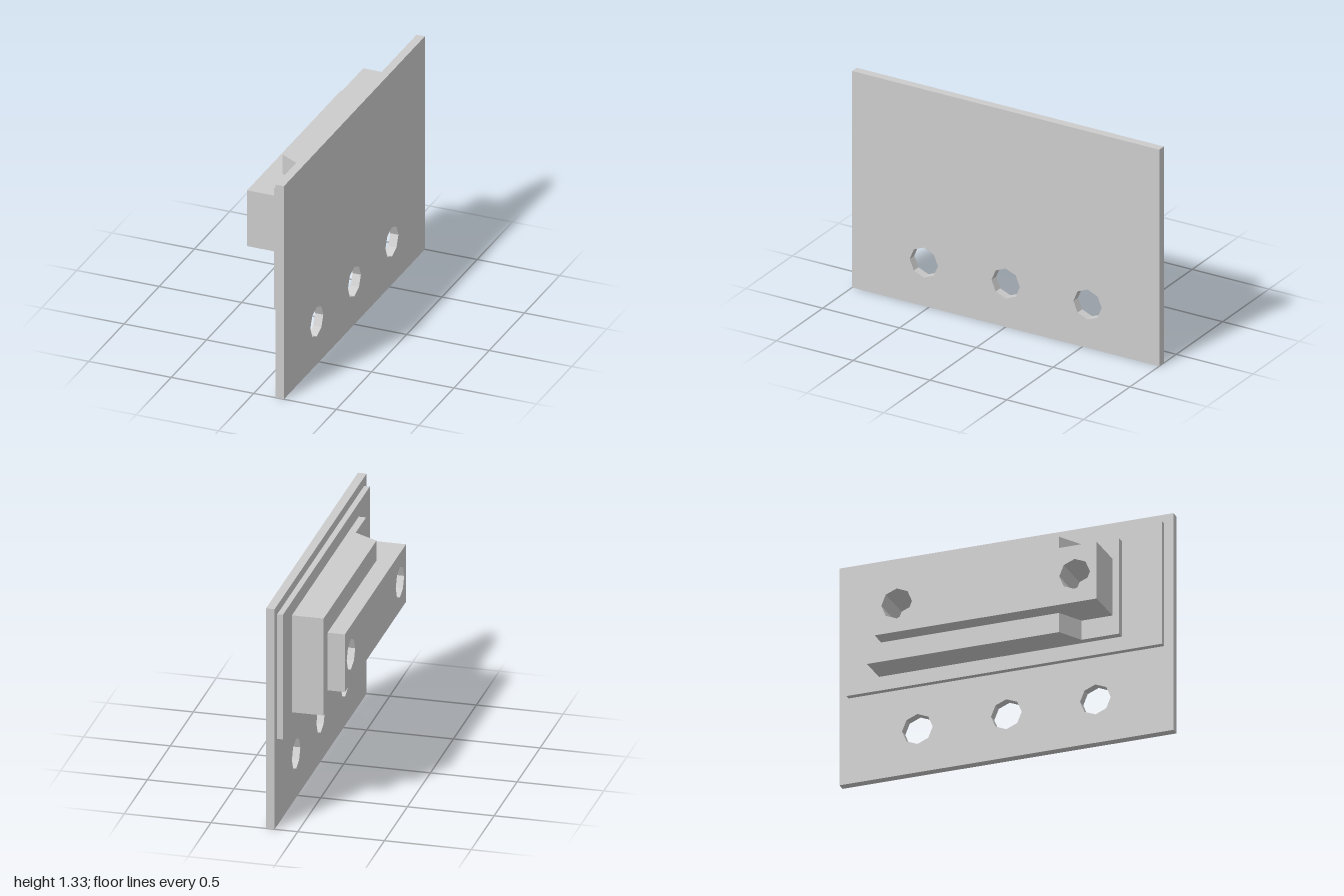
import * as THREE from 'three';

const material = new THREE.MeshStandardMaterial({ color: 0xcccccc, flatShading: true });

// Octagonal hole outline with a corner pointing up
function octagon(u, v, r) {
  const pts = [];
  for (let i = 0; i < 8; i++) {
    const a = (i * Math.PI) / 4;
    pts.push(new THREE.Vector2(u + r * Math.cos(a), v + r * Math.sin(a)));
  }
  return new THREE.Path(pts);
}

// Upright slab spanning x0..x1, y0..y1, z0..z1, drilled along x at [z, y] points
function slab(name, [x0, x1], [y0, y1], [z0, z1], holes = []) {
  const shape = new THREE.Shape([
    new THREE.Vector2(-z1, y0), new THREE.Vector2(-z0, y0),
    new THREE.Vector2(-z0, y1), new THREE.Vector2(-z1, y1),
  ]);
  for (const [z, y] of holes) shape.holes.push(octagon(-z, y, 0.092));
  const geo = new THREE.ExtrudeGeometry(shape, { depth: x1 - x0, bevelEnabled: false });
  geo.rotateY(Math.PI / 2).translate(x0, 0, 0);
  const mesh = new THREE.Mesh(geo, material);
  mesh.name = name;
  return mesh;
}

// Rail beside the bar, with a sloped front end, extruded upwards
function rail(name, y0, y1) {
  const profile = [[-0.083, -0.75], [0.058, -0.75], [0.058, 0.48], [-0.083, 0.40]];
  const shape = new THREE.Shape(profile.map(([x, z]) => new THREE.Vector2(x, -z)));
  const geo = new THREE.ExtrudeGeometry(shape, { depth: y1 - y0, bevelEnabled: false });
  geo.rotateX(-Math.PI / 2).translate(0, y0, 0);
  const mesh = new THREE.Mesh(geo, material);
  mesh.name = name;
  return mesh;
}

export function createModel() {
  const group = new THREE.Group();
  group.name = 'mountingPlateAssembly';
  const p = 0.533; // hole spacing along z

  group.add(
    // Stacked plates
    slab('backPlate', [0.133, 0.183], [0, 1.333], [-1, 1], [[-p, 0.267], [0, 0.267], [p, 0.267]]),
    slab('spacerPlate', [0.1, 0.133], [0.525, 1.28], [-0.945, 0.945]),
    slab('blockBase', [0.058, 0.1], [0.61, 1.197], [-0.75, 0.705]),
    // Block surrounding the bar
    rail('lowerRail', 0.61, 0.728),
    rail('upperRail', 1.077, 1.197),
    slab('blockEnd', [-0.083, 0.058], [0.728, 1.077], [-0.75, -0.665]),
    // Drilled bar
    slab('bar', [-0.183, 0.058], [0.728, 1.077], [-0.665, 0.665], [[-p, 0.902], [p, 0.902]]),
  );
  return group;
}
